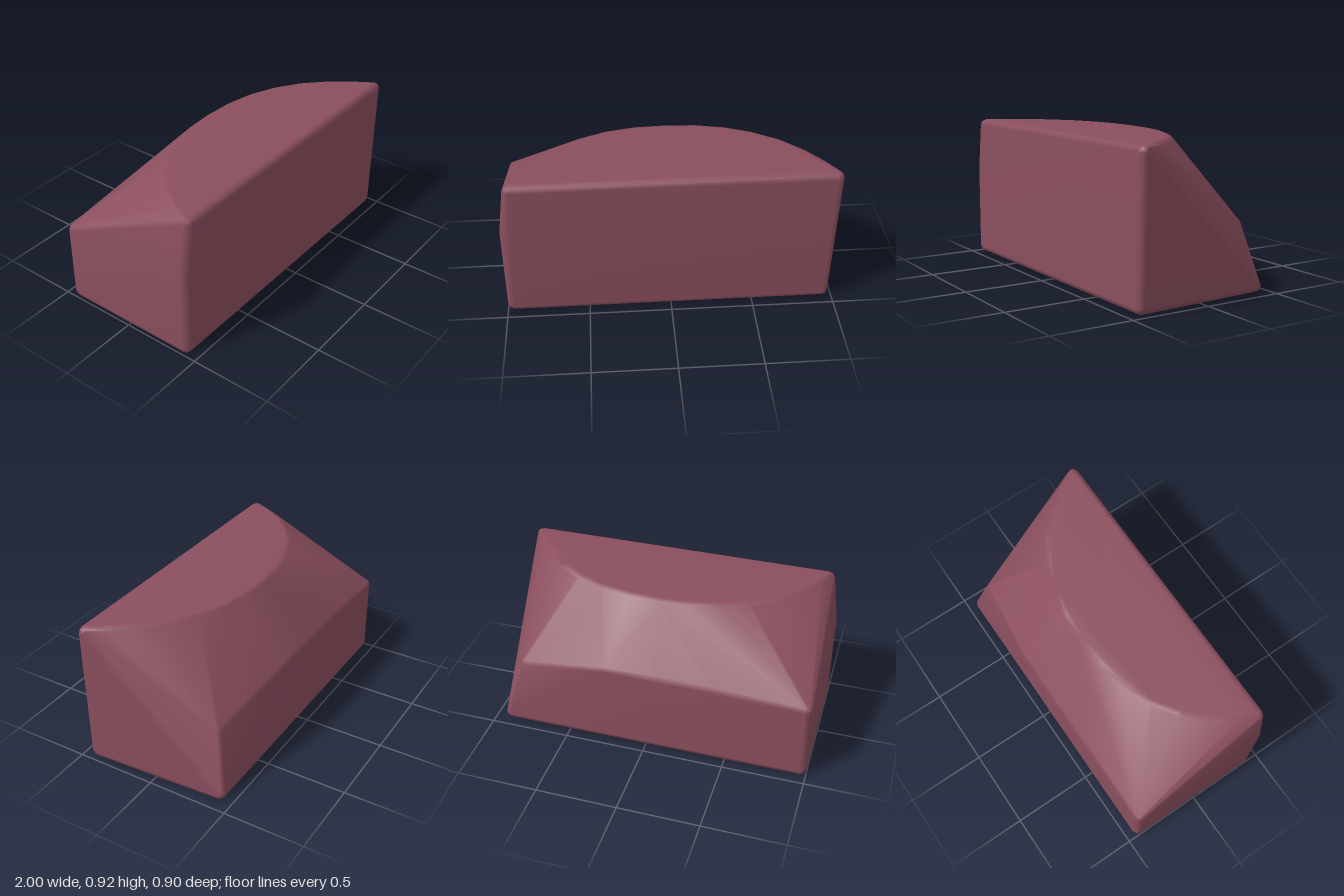
import * as THREE from 'three';
import { ConvexGeometry } from 'three/addons/geometries/ConvexGeometry.js';
import { mergeVertices } from 'three/addons/utils/BufferGeometryUtils.js';

const BEVEL = 0.04;

// Convex block whose core corners are each swollen by a small ball, giving bevelled edges
function bevelledHull(core, r) {
  const points = [];
  for (const [x, y, z] of core) {
    for (let i = -1; i <= 1; i++) for (let j = -1; j <= 1; j++) for (let k = -1; k <= 1; k++) {
      if (!i && !j && !k) continue;
      points.push(new THREE.Vector3(i, j, k).setLength(r).add(new THREE.Vector3(x, y, z)));
    }
  }
  const hull = new ConvexGeometry(points);
  hull.deleteAttribute('normal');
  const geometry = mergeVertices(hull, 1e-5);
  geometry.computeVertexNormals();
  return geometry;
}

export function createModel() {
  const group = new THREE.Group();
  group.name = 'stone';

  const core = [
    // base
    [-0.96, 0.04, 0.41], [0.94, 0.04, 0.41], [0.90, 0.04, -0.41], [-0.96, 0.04, -0.41],
    // bend in the left side
    [-0.96, 0.58, 0.41],
    // upper edge of the back
    [-0.96, 0.49, -0.41], [-0.4, 0.52, -0.41], [-0.05, 0.525, -0.41], [0.25, 0.52, -0.41],
    // knocked-off right back corner
    [0.81, 0.39, -0.33],
  ];

  // curved rim of the flat top
  const rim = new THREE.CatmullRomCurve3([
    [-0.92, 0.41], [-0.82, 0.22], [-0.6, 0.01], [-0.32, -0.12], [0, -0.155],
    [0.32, -0.12], [0.6, 0], [0.82, 0.2], [0.96, 0.41],
  ].map(([x, z]) => new THREE.Vector3(x, 0.875, z)));
  for (const p of rim.getPoints(14)) core.push(p.toArray());

  const block = new THREE.Mesh(
    bevelledHull(core, BEVEL),
    new THREE.MeshStandardMaterial({ color: 0x8b4f5e })
  );
  block.name = 'stoneBlock';
  group.add(block);
  return group;
}
